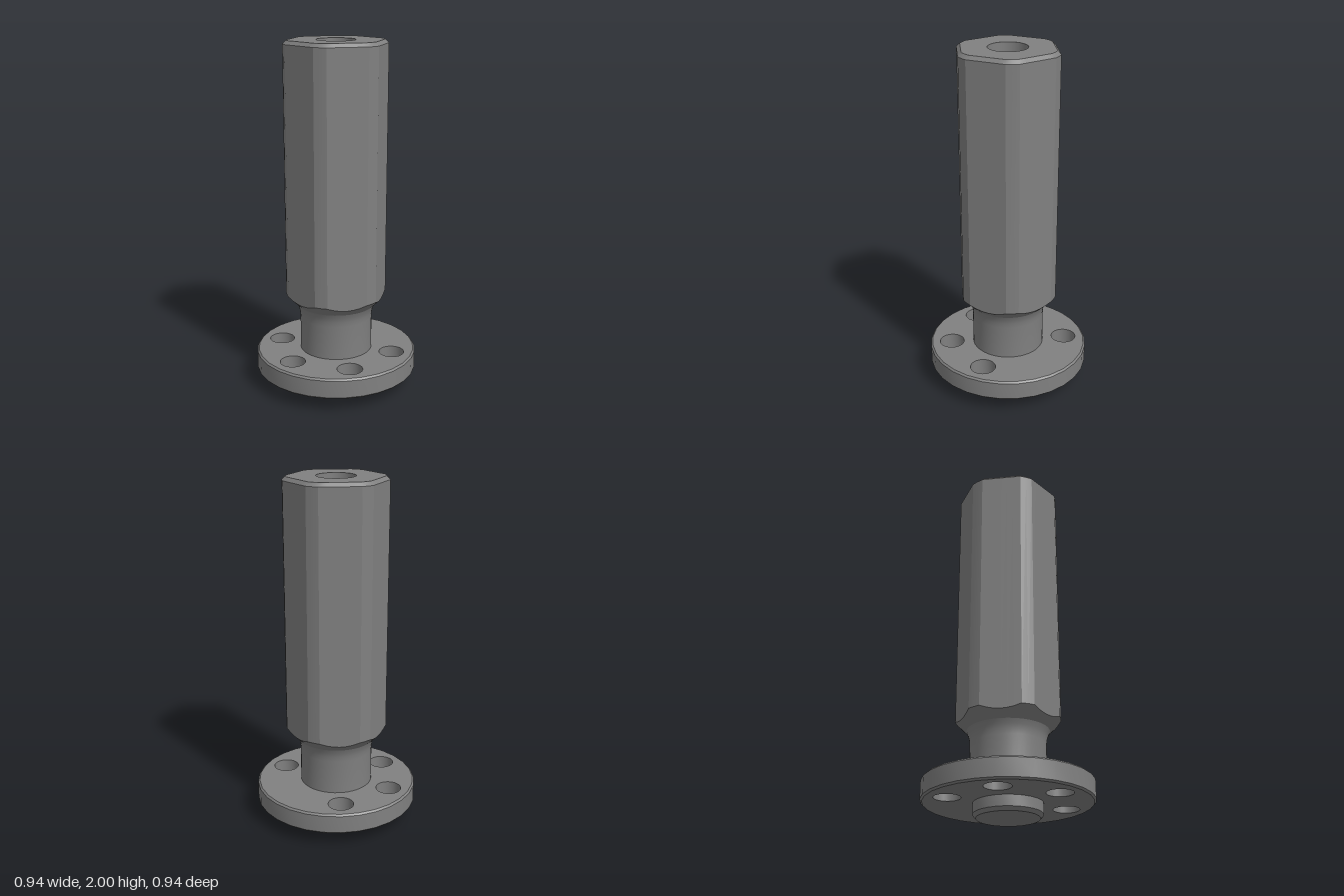
import * as THREE from 'three';
import { toCreasedNormals, mergeGeometries } from 'three/addons/utils/BufferGeometryUtils.js';

const CREASE = 0.35;
const FLAT = 0.27, CORNER = 0.293; // hexagon: distance to flats, radius of the turned corners
const FLANGE_SIDES = 29;

// Angles round the body: three per trimmed corner, five across each flat
const rad = THREE.MathUtils.degToRad;
const angles = [];
for (let s = 0; s < 6; s++) {
  for (const a of [-7.15, 0, 7.15, 15, 22.5, 30, 37.5, 45]) angles.push(rad(s * 60 + a));
}

// Trimmed hexagon radius at an angle
function hexRadius(a) {
  const sector = Math.PI / 3;
  const local = a - Math.floor(a / sector) * sector - sector / 2;
  return Math.min(CORNER, FLAT / Math.cos(local));
}

const circle = (r, y) => () => [r, y];
const hex = (scale, y) => (a) => [hexRadius(a) * scale, y];
// Scalloped edge where a 45 degree cone cuts the hexagon
const scallop = (a) => [hexRadius(a), 0.543 - (CORNER - hexRadius(a))];

// Skin a stack of rings; each ring maps an angle to [radius, y]
function loft(rings) {
  const n = angles.length, pos = [], index = [];
  for (const ring of rings) {
    for (const a of angles) {
      const [r, y] = ring(a);
      pos.push(r * Math.cos(a), y, -r * Math.sin(a));
    }
  }
  for (let j = 0; j < rings.length - 1; j++) {
    for (let i = 0; i < n; i++) {
      const k = (i + 1) % n;
      const a = j * n + i, b = j * n + k, c = a + n, d = b + n;
      index.push(a, b, d, a, d, c);
    }
  }
  const g = new THREE.BufferGeometry();
  g.setAttribute('position', new THREE.Float32BufferAttribute(pos, 3));
  g.setIndex(index);
  return toCreasedNormals(g, CREASE);
}

function lathe(points, sides) {
  const g = new THREE.LatheGeometry(points.map((p) => new THREE.Vector2(...p)), sides, Math.PI / 2);
  return toCreasedNormals(g, CREASE);
}

export function createModel() {
  const steel = new THREE.MeshStandardMaterial({ color: 0x808080 });
  steel.name = 'grey steel';
  const group = new THREE.Group();
  const add = (name, geometry) => {
    const mesh = new THREE.Mesh(geometry, steel);
    mesh.name = name;
    group.add(mesh);
    return mesh;
  };

  // Hexagonal shaft with chamfered top
  add('hexShaft', loft([scallop, hex(1, 1.98), hex(0.93, 2), circle(0.11, 2)]));

  // Blind bore with a conical end
  add('bore', loft([circle(0.11, 2), circle(0.11, 1.5), circle(0, 1.434)]));

  // Round neck, filleted up into the shaft
  add('neck', loft([
    circle(0.21, 0.2), circle(0.21, 0.4), circle(0.213, 0.43),
    circle(0.219, 0.455), circle(0.23, 0.48), circle(0.248, 0.498), scallop,
  ]));

  // Spigot under the flange
  add('spigot', lathe([[0, 0], [0.173, 0], [0.19, 0.02], [0.19, 0.08]], FLANGE_SIDES));

  // Flange rim with chamfered edges
  add('flangeRim', lathe([[0.459, 0.08], [0.469, 0.09], [0.469, 0.19], [0.459, 0.2]], FLANGE_SIDES));

  // Bolt holes every 60 degrees, with none at the back
  const holes = [30, 90, 150, 210, 330].map((d) => [0.34 * Math.cos(rad(d)), 0.34 * Math.sin(rad(d))]);

  // Flange faces: side is 1 for the top, -1 for the underside
  const face = (side) => {
    const outline = [];
    for (let i = 0; i < FLANGE_SIDES; i++) {
      const a = (i / FLANGE_SIDES) * Math.PI * 2;
      outline.push(new THREE.Vector2(0.459 * Math.cos(a), 0.459 * Math.sin(a)));
    }
    const shape = new THREE.Shape(outline);
    for (const [x, z] of holes) {
      shape.holes.push(new THREE.Path().absarc(x, -side * z, 0.073, 0, Math.PI * 2, true));
    }
    const g = new THREE.ShapeGeometry(shape, 16);
    g.rotateX(-side * Math.PI / 2);
    return g.translate(0, side > 0 ? 0.2 : 0.08, 0);
  };
  add('flangeFaces', mergeGeometries([face(1), face(-1)]));

  // Bolt hole walls, facing inward
  const wall = lathe([[0.073, 0.2], [0.073, 0.08]], 32);
  for (const [x, z] of holes) add('boltHole', wall).position.set(x, 0, z);

  return group;
}
